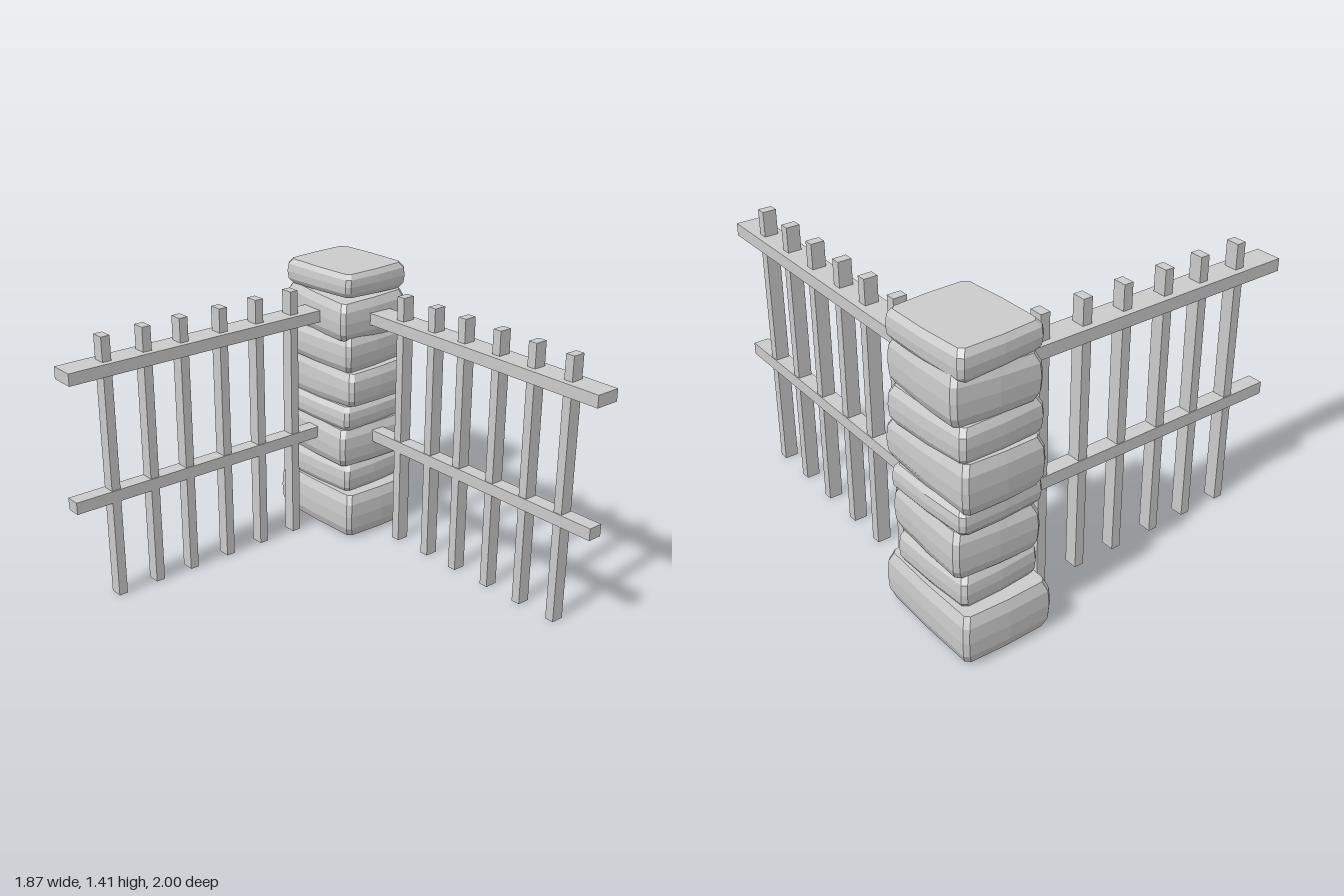
import * as THREE from 'three';

const material = new THREE.MeshStandardMaterial({ color: 0xcccccc, flatShading: true });

// Rough stone block: stacked eight-cornered rings with bulging sides and a sloped top and bottom.
function stoneGeometry(w, h, d, top, bottom) {
  const corner = 0.025;
  const levels = [[0, 0.022], [0.2, 0.004], [0.5, 0], [0.8, 0.004], [1, 0.022]];
  const pos = [], index = [];
  const height = (t, x, z) => {
    const low = bottom[0] * x + bottom[1] * z;
    const high = h + top[0] * x + top[1] * z;
    return low + (high - low) * t;
  };
  const n = 12;
  for (const [t, inset] of levels) {
    const a = w / 2 - inset, b = d / 2 - inset, c = corner, m = 0.006;
    const ring = [
      [a, 0], [a - m, c - b], [a - c, m - b],
      [0, -b], [c - a, m - b], [m - a, c - b],
      [-a, 0], [m - a, b - c], [c - a, b - m],
      [0, b], [a - c, b - m], [a - m, b - c],
    ];
    for (const [x, z] of ring) pos.push(x, height(t, x, z), z);
  }
  const last = (levels.length - 1) * n;
  const base = pos.length / 3;
  pos.push(0, 0, 0, 0, h, 0);
  for (let i = 0; i < n; i++) {
    const j = (i + 1) % n;
    for (let k = 0; k < last; k += n) {
      index.push(k + i, k + j, k + n + j, k + i, k + n + j, k + n + i);
    }
    index.push(base, j, i, base + 1, last + i, last + j);
  }
  const g = new THREE.BufferGeometry();
  g.setAttribute('position', new THREE.Float32BufferAttribute(pos, 3));
  g.setIndex(index);
  const flat = g.toNonIndexed();
  flat.computeVertexNormals();
  return flat;
}

// Each stone: y range, x range, z range, yaw, top slope [x, z], bottom slope [x, z]
const STONES = [
  [0.01, 0.242, 0.48, 0.93, -0.995, -0.40, 0, [0, 0], [0, 0]],
  [0.235, 0.39, 0.495, 0.915, -0.935, -0.46, 0.05, [0, 0], [0, 0]],
  [0.39, 0.60, 0.485, 0.925, -0.945, -0.445, -0.04, [0.02, -0.03], [0, 0]],
  [0.595, 0.72, 0.485, 0.925, -0.95, -0.45, 0.04, [0, -0.01], [0.01, -0.02]],
  [0.718, 0.92, 0.495, 0.92, -0.975, -0.42, 0.025, [0.03, -0.05], [0, 0.04]],
  [0.915, 1.085, 0.48, 0.93, -0.955, -0.445, 0.06, [0, 0], [0.02, -0.03]],
  [1.078, 1.285, 0.485, 0.925, -0.95, -0.445, -0.04, [0.05, -0.06], [0, -0.03]],
  [1.283, 1.413, 0.485, 0.925, -0.95, -0.45, 0.05, [0, 0], [-0.04, 0.02]],
];

function box(parent, name, size, at) {
  const mesh = new THREE.Mesh(new THREE.BoxGeometry(...size), material);
  mesh.name = name;
  mesh.position.set(...at);
  parent.add(mesh);
}

// Fence built along local x, with its rails running from start to end.
function buildFence(name, start, end, pickets) {
  const fence = new THREE.Group();
  fence.name = name;
  const length = end - start, middle = (start + end) / 2;
  box(fence, 'upperRail', [length, 0.06, 0.127], [middle, 1.17, 0]);
  box(fence, 'lowerRail', [length, 0.06, 0.075], [middle, 0.53, 0]);
  for (const x of pickets) box(fence, 'picket', [0.046, 1.32, 0.065], [x, 0.66, 0]);
  return fence;
}

export function createModel() {
  const model = new THREE.Group();
  model.name = 'cornerFence';

  // Corner pillar of stacked stones
  const pillar = new THREE.Group();
  pillar.name = 'stonePillar';
  for (const [y0, y1, x0, x1, z0, z1, yaw, top, bottom] of STONES) {
    const W = x1 - x0, D = z1 - z0, turn = 0.75 * Math.abs(yaw);
    const geometry = stoneGeometry(W - turn * D, y1 - y0, D - turn * W, top, bottom);
    const stone = new THREE.Mesh(geometry, material);
    stone.name = 'stone';
    stone.position.set((x0 + x1) / 2, y0, (z0 + z1) / 2);
    stone.rotation.y = yaw;
    pillar.add(stone);
  }
  model.add(pillar);

  // Back fence runs along x
  const back = buildFence('backFence', -0.935, 0.54, [-0.72, -0.505, -0.302, -0.077, 0.137, 0.352]);
  back.position.z = -0.712;
  model.add(back);

  // Side fence runs along z; local x points to the back
  const side = buildFence('sideFence', -1, 0.5, [-0.805, -0.59, -0.375, -0.152, 0.05, 0.268]);
  side.rotation.y = Math.PI / 2;
  side.position.x = 0.722;
  model.add(side);

  return model;
}
